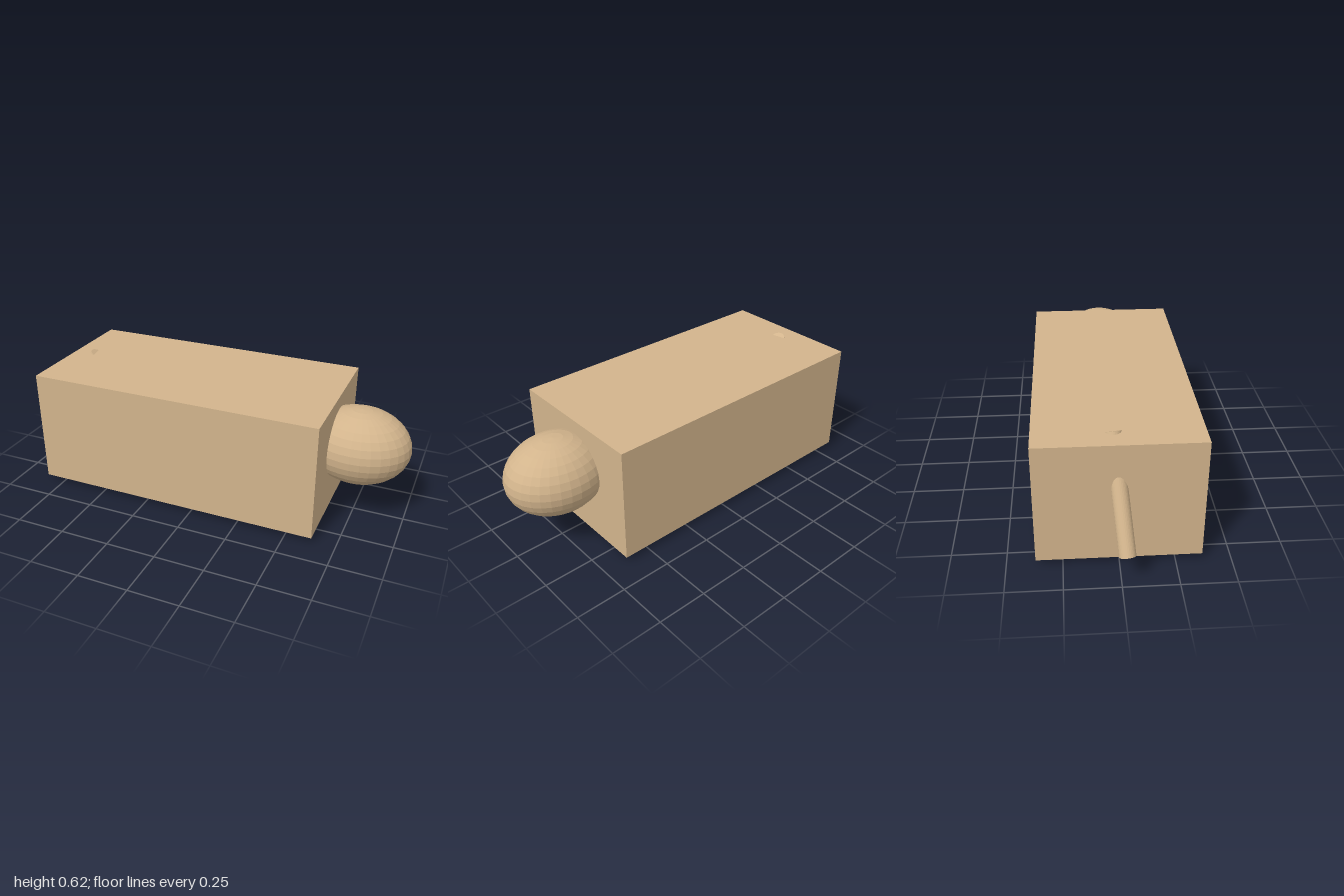
import * as THREE from 'three';

export function createModel() {
  const group = new THREE.Group();
  const material = new THREE.MeshStandardMaterial({ color: 0xd2b48c, flatShading: true });

  const add = (name, geometry, x, y, z) => {
    const mesh = new THREE.Mesh(geometry, material);
    mesh.name = name;
    mesh.position.set(x, y, z);
    group.add(mesh);
    return mesh;
  };

  // Boxy body
  add('body', new THREE.BoxGeometry(1.475, 0.582, 0.74), -0.1025, 0.319, 0);

  // Faceted egg-shaped head, half sunk into the body
  add('head', new THREE.SphereGeometry(1, 32, 16), 0.745, 0.371, 0).scale.set(0.252, 0.189, 0.21);

  // Four short legs, mostly inside the body
  for (const x of [-0.5, 0.371]) {
    for (const z of [-0.213, 0.213]) {
      add('leg', new THREE.CylinderGeometry(0.0575, 0.0575, 0.2, 32), x, 0.1, z);
    }
  }

  // Slanted tail, its upper end just breaking through the back
  const low = new THREE.Vector3(-0.967, 0.139, 0.024);
  const high = new THREE.Vector3(-0.718, 0.605, -0.023);
  const along = high.clone().sub(low);
  const middle = low.clone().add(high).multiplyScalar(0.5);
  const tail = add('tail', new THREE.CylinderGeometry(0.037, 0.037, along.length(), 32), middle.x, middle.y, middle.z);
  tail.quaternion.setFromUnitVectors(new THREE.Vector3(0, 1, 0), along.normalize());

  return group;
}
